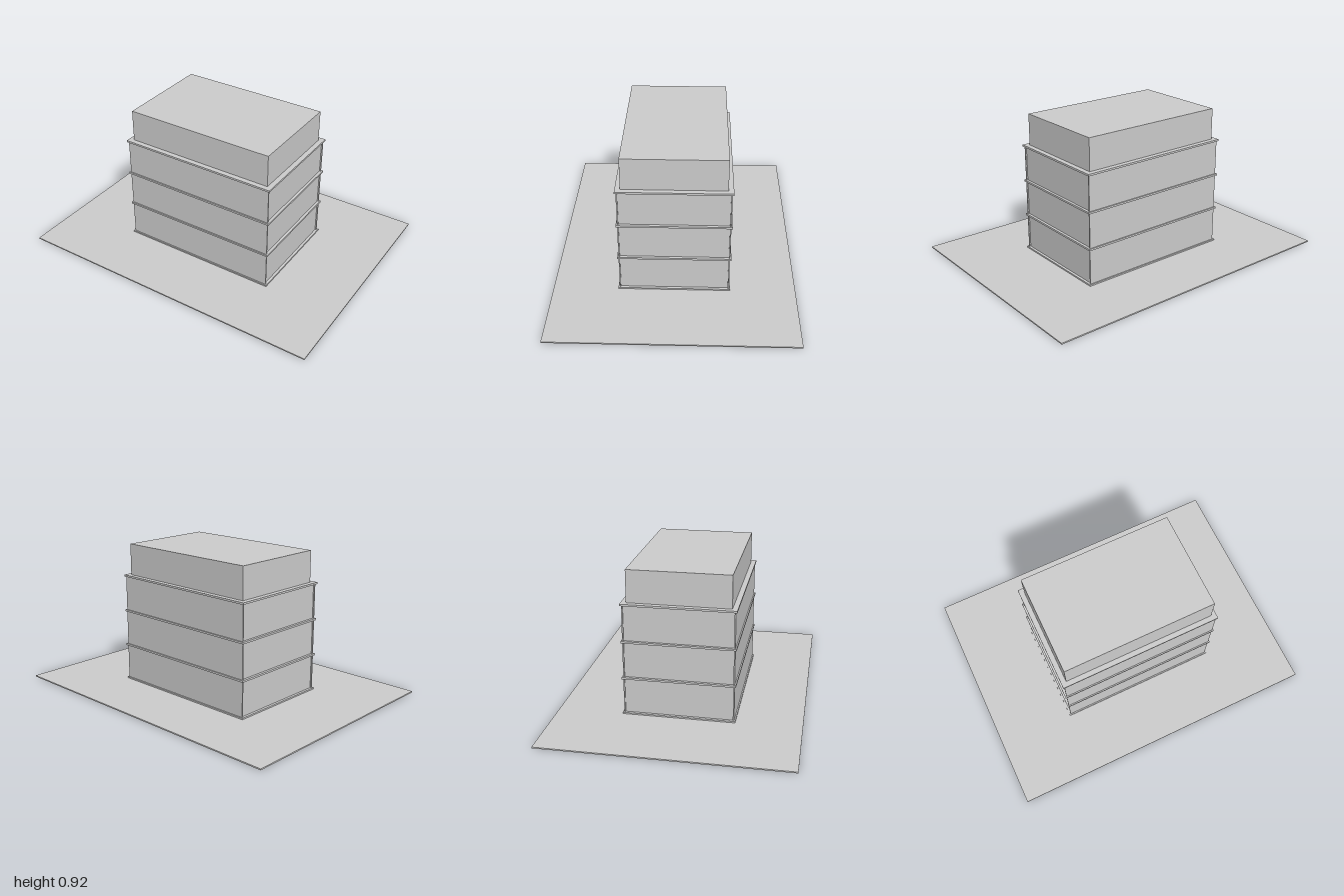
import * as THREE from 'three';

export function createModel() {
  const group = new THREE.Group();
  const material = new THREE.MeshStandardMaterial({ color: 0xcccccc, flatShading: true });

  // Box given by width, depth, bottom and top heights, and z offset
  function box(name, w, d, bottom, top, z = 0) {
    const mesh = new THREE.Mesh(new THREE.BoxGeometry(w, top - bottom, d), material);
    mesh.name = name;
    mesh.position.set(0, (bottom + top) / 2, z);
    group.add(mesh);
  }

  box('groundPlate', 2, 1.492, 0, 0.008);

  // Building core, its ends set back between the facade panels
  box('core', 0.998, 0.66, 0.008, 0.71);

  // Front and back facade panels
  for (const side of [1, -1]) {
    box(side > 0 ? 'frontFacade' : 'backFacade', 1.014, 0.008, 0.008, 0.71, side * 0.333);
  }

  // Projecting floor slabs, one per storey plus the roof
  for (let i = 0; i < 4; i++) {
    const y = 0.011 + i * 0.233;
    box('floorSlab' + i, 1.032, 0.69, y - 0.006, y + 0.006);
  }

  // Set-back top storey
  box('topStorey', 0.968, 0.626, 0.716, 0.918);

  return group;
}
